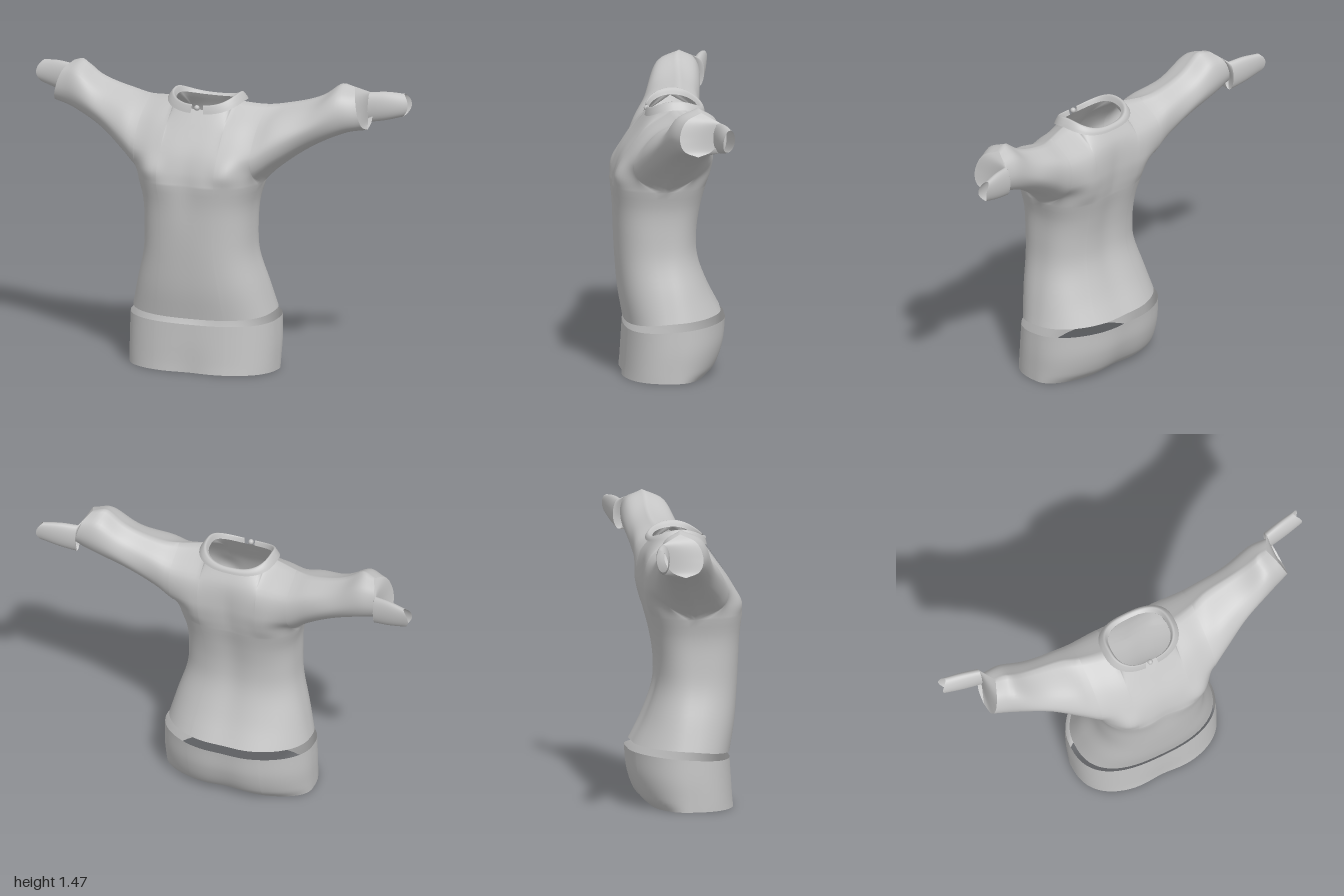
import * as THREE from 'three';
import { mergeGeometries, mergeVertices } from 'three/addons/utils/BufferGeometryUtils.js';

const cloth = new THREE.MeshStandardMaterial({ color: 0xc4c4c4, side: THREE.DoubleSide });
cloth.name = 'light grey cloth';

// Smooth interpolation of rows [key, a, b, ...]
function table(rows) {
  const slope = (i, k) => {
    const a = rows[Math.max(i - 1, 0)], b = rows[Math.min(i + 1, rows.length - 1)];
    return (b[k] - a[k]) / (b[0] - a[0]);
  };
  return (x) => {
    let i = 0;
    while (i < rows.length - 2 && x > rows[i + 1][0]) i++;
    const a = rows[i], b = rows[i + 1], h = b[0] - a[0];
    const t = Math.min(Math.max((x - a[0]) / h, 0), 1), t2 = t * t, t3 = t2 * t;
    return a.slice(1).map((v, n) => v * (2 * t3 - 3 * t2 + 1) + b[n + 1] * (3 * t2 - 2 * t3)
      + slope(i, n + 1) * h * (t3 - 2 * t2 + t) + slope(i + 1, n + 1) * h * (t3 - t2));
  };
}

// Surface from a list of columns, each a list of [x, y, z] going up
function sheet(columns) {
  const n = columns[0].length, index = [];
  for (let i = 0; i < columns.length - 1; i++) {
    for (let j = 0; j < n - 1; j++) {
      const a = i * n + j, b = a + n;
      index.push(a, b, b + 1, a, b + 1, a + 1);
    }
  }
  const g = new THREE.BufferGeometry();
  g.setAttribute('position', new THREE.Float32BufferAttribute(columns.flat(2), 3));
  g.setIndex(index);
  return g;
}

function part(name, ...sheets) {
  const g = mergeVertices(mergeGeometries(sheets), 1e-4);
  g.computeVertexNormals();
  const mesh = new THREE.Mesh(g, cloth);
  mesh.name = name;
  return mesh;
}

const steps = (n, f) => Array.from({ length: n + 1 }, (_, i) => f(i / n));
const W = 0.315, Y0 = 0.96, NECK = 0.155, ROUND = 2.6;

// Rounded profile, 1 in the middle and 0 at p = 1
const bulge = (p, n) => Math.pow(Math.max(0, 1 - Math.pow(Math.abs(p), n)), 1 / n);

// Height: half width, side seam z, then z, squareness and centre groove for front and back
const torsoAt = table([
  [0.305, 0.37, -0.02, 0.22, 2.6, 0, -0.275, 2.05, 0.012],
  [0.44, 0.335, 0, 0.245, 2.6, 0, -0.208, 2.2, 0.012],
  [0.6, 0.291, 0.03, 0.26, 2.6, 0, -0.153, 2.4, 0.012],
  [0.73, 0.283, 0.04, 0.267, 2.6, 0, -0.147, 2.6, 0.012],
  [0.86, 0.288, 0.03, 0.274, 2.7, 0.006, -0.167, 2.6, 0.014],
  [Y0, W, 0.02, 0.288, 2.7, 0.018, -0.193, 2.6, 0.014]]);
const bandAt = table([
  [0.005, 0.387, -0.02, 0.24, 2.6, 0.014, -0.185, 2.2, 0.02],
  [0.05, 0.388, -0.02, 0.235, 2.6, 0.01, -0.24, 2.1, 0.018],
  [0.15, 0.39, -0.03, 0.228, 2.6, 0.004, -0.283, 2.05, 0.015],
  [0.265, 0.387, -0.03, 0.22, 2.6, 0, -0.297, 2.05, 0.012]]);

// Depth of a body section on one side
function bodyZ(row, p, s) {
  const zc = row[1], [z, n, groove] = s > 0 ? row.slice(2, 5) : row.slice(5, 8);
  return zc + (z - zc) * bulge(p, n) - s * groove * Math.exp(-((p / 0.25) ** 2));
}

// x: three (y, z) points up the front and up the back
const frontAt = table([
  [0, 1.03, 0.259, 1.12, 0.226, 1.24, 0.147], [0.1, 1.03, 0.265, 1.12, 0.227, 1.24, 0.143],
  [0.21, 1.03, 0.262, 1.12, 0.216, 1.25, 0.118], [W, 1.035, 0.165, 1.12, 0.183, 1.25, 0.093],
  [0.4, 1.09, 0.12, 1.17, 0.147, 1.28, 0.08], [0.55, 1.18, 0.045, 1.25, 0.08, 1.33, 0.03],
  [0.72, 1.255, 0, 1.33, 0.03, 1.42, 0], [0.83, 1.28, -0.03, 1.34, -0.01, 1.42, -0.04]]);
const backAt = table([
  [0, 1.03, -0.19, 1.12, -0.2, 1.25, -0.195], [0.1, 1.03, -0.202, 1.12, -0.213, 1.25, -0.197],
  [0.2, 1.03, -0.195, 1.12, -0.217, 1.25, -0.192], [W, 1.035, -0.12, 1.12, -0.192, 1.25, -0.19],
  [0.4, 1.09, -0.12, 1.17, -0.188, 1.28, -0.185], [0.55, 1.18, -0.15, 1.25, -0.2, 1.33, -0.18],
  [0.72, 1.255, -0.18, 1.33, -0.215, 1.42, -0.19], [0.83, 1.28, -0.17, 1.34, -0.205, 1.42, -0.19]]);
// Underarm and shoulder lines: x: y, z
const underarmAt = table([[W, Y0, 0.02], [0.4, 1.045, -0.01], [0.55, 1.15, -0.06],
  [0.72, 1.228, -0.09], [0.83, 1.25, -0.1]]);
const shoulderAt = table([[NECK, 1.365, -0.03], [0.2, 1.355, -0.03], [W, 1.345, -0.06],
  [0.4, 1.353, -0.09], [0.55, 1.39, -0.1], [0.72, 1.465, -0.1], [0.77, 1.475, -0.11], [0.83, 1.46, -0.12]]);

// Height around the neckline, c = 1 at the front and -1 at the back
const around = (c, front, side, back) => side + ((c > 0 ? front : back) - side) * c * c;

// One column from chest height or underarm up to the shoulder or neckline
function yokeCurve(x, s) {
  const ax = Math.abs(x), q = (s > 0 ? frontAt : backAt)(ax);
  const start = ax < W - 1e-6 ? [Y0, bodyZ(torsoAt(Y0), ax / W, s)] : underarmAt(ax);
  let top;
  if (ax < NECK) {
    const c = s * bulge(ax / NECK, ROUND);
    top = [around(c, 1.32, 1.365, 1.34), -0.03 + 0.12 * c];
  } else top = shoulderAt(ax);
  const pts = [start, q.slice(0, 2), q.slice(2, 4), q.slice(4, 6), top];
  const curve = new THREE.CatmullRomCurve3(pts.map(([y, z]) => new THREE.Vector3(0, y, z)));
  const slant = 0.075 * THREE.MathUtils.smoothstep(ax, 0.58, 0.83);
  return (t) => {
    const v = curve.getPoint(t);
    return [x - Math.sign(x) * slant * t * t, v.y, v.z];
  };
}

const mirrored = (xs) => [...xs.slice(1).reverse().map((x) => -x), ...xs];
const halfXs = [
  ...steps(10, (t) => NECK * Math.sin(t * Math.PI / 2)),
  ...steps(12, (t) => NECK + (W - NECK) * Math.sin(t * Math.PI / 2)).slice(1)];
const innerXs = mirrored(halfXs);
const allXs = mirrored([...halfXs, ...steps(22, (t) => W + (0.83 - W) * t).slice(1)]);

// Front or back half of a tube standing on the y axis
function tubeHalf(at, y0, y1, s, lift) {
  const cols = innerXs.map((x) => steps(18, (t) => {
    const y = y0 + (y1 - y0) * t, row = at(y), p = x / W, z = bodyZ(row, p, s);
    return [p * row[0], y + lift(t, z), z];
  }));
  return sheet(s > 0 ? cols : cols.reverse());
}

function yokeHalf(s) {
  const cols = allXs.map((x) => steps(24, yokeCurve(x, s)));
  return sheet(s > 0 ? cols : cols.reverse());
}

// Flattened inner sleeve: x: centre y, half height, centre z, half depth
const cuffAt = table([[0.8, 1.34, 0.076, -0.21, 0.033], [0.9, 1.35, 0.071, -0.226, 0.033],
  [1, 1.358, 0.056, -0.242, 0.028]]);
function cuffPoint(side, t, a) {
  const x = 0.8 + 0.2 * t, [cy, ry, cz, rz] = cuffAt(x), s = Math.sin(a);
  return [side * (x - 0.03 * t * s * s), cy + ry * s, cz + rz * Math.cos(a) - 0.008 * t * s];
}
const cuff = (side) => sheet(steps(32, (u) =>
  steps(10, (t) => cuffPoint(side, t, (2 * u - 0.5) * Math.PI))));

// Gathered end joining the wide sleeve to the cuff
function sleeveEnd(side) {
  const front = yokeCurve(0.83 * side, 1), back = yokeCurve(0.83 * side, -1);
  return sheet(steps(48, (u) => {
    const outer = u < 0.5 ? front(2 * u) : back(2 - 2 * u);
    const inner = cuffPoint(side, 0, (2 * u - 0.5) * Math.PI);
    return steps(4, (t) => outer.map((v, k) => v + (inner[k] - v) * t));
  }));
}

// Folded collar, open at the front centre
function collar() {
  const square = (v) => Math.sign(v) * Math.pow(Math.abs(v), 2 / ROUND);
  return sheet(steps(56, (u) => {
    const a = 0.1 + u * (Math.PI * 2 - 0.2), s = square(Math.sin(a)), c = square(Math.cos(a));
    const profile = new THREE.CatmullRomCurve3([
      [0.2, -0.037, 0.15, around(c, 1.303, 1.358, 1.325)],
      [0.188, -0.037, 0.145, around(c, 1.325, 1.378, 1.34)],
      [0.17, -0.035, 0.135, around(c, 1.346, 1.398, 1.35)],
      [NECK, -0.03, 0.12, around(c, 1.32, 1.365, 1.34)],
    ].map(([rx, z, rz, y]) => new THREE.Vector3(rx * s, y, z + rz * c)));
    return steps(10, (t) => profile.getPoint(t).toArray());
  }));
}

// Thin strip below the collar opening
function placket() {
  const up = yokeCurve(0, 1);
  return sheet([-1, 1].map((s) => steps(10, (t) => {
    const [, y, z] = up(0.6 + 0.38 * t);
    return [-0.01 + s * 0.013 * Math.min(1, 0.3 + t * 2), y + 0.002, z + 0.005];
  })));
}

export function createModel() {
  const model = new THREE.Group();
  model.name = 'top';
  const hemLift = (t, z) => (z > 0 ? -0.12 : -0.055) * z * (1 - t) ** 2;
  const bandLift = (t, z) => -0.075 * z * t;
  model.add(part('shirtBody',
    tubeHalf(torsoAt, 0.305, Y0, 1, hemLift), tubeHalf(torsoAt, 0.305, Y0, -1, hemLift),
    yokeHalf(1), yokeHalf(-1)));
  model.add(part('hipBand',
    tubeHalf(bandAt, 0.005, 0.265, 1, bandLift), tubeHalf(bandAt, 0.005, 0.265, -1, bandLift)));
  for (const [name, side] of [['left', 1], ['right', -1]]) {
    model.add(part(name + 'Cuff', cuff(side)), part(name + 'SleeveEnd', sleeveEnd(side)));
  }
  model.add(part('collar', collar()), part('placket', placket()));
  const button = new THREE.Mesh(new THREE.SphereGeometry(0.014, 12, 8), cloth);
  button.name = 'collarButton';
  button.position.set(-0.005, 1.33, 0.1);
  model.add(button);
  return model;
}
